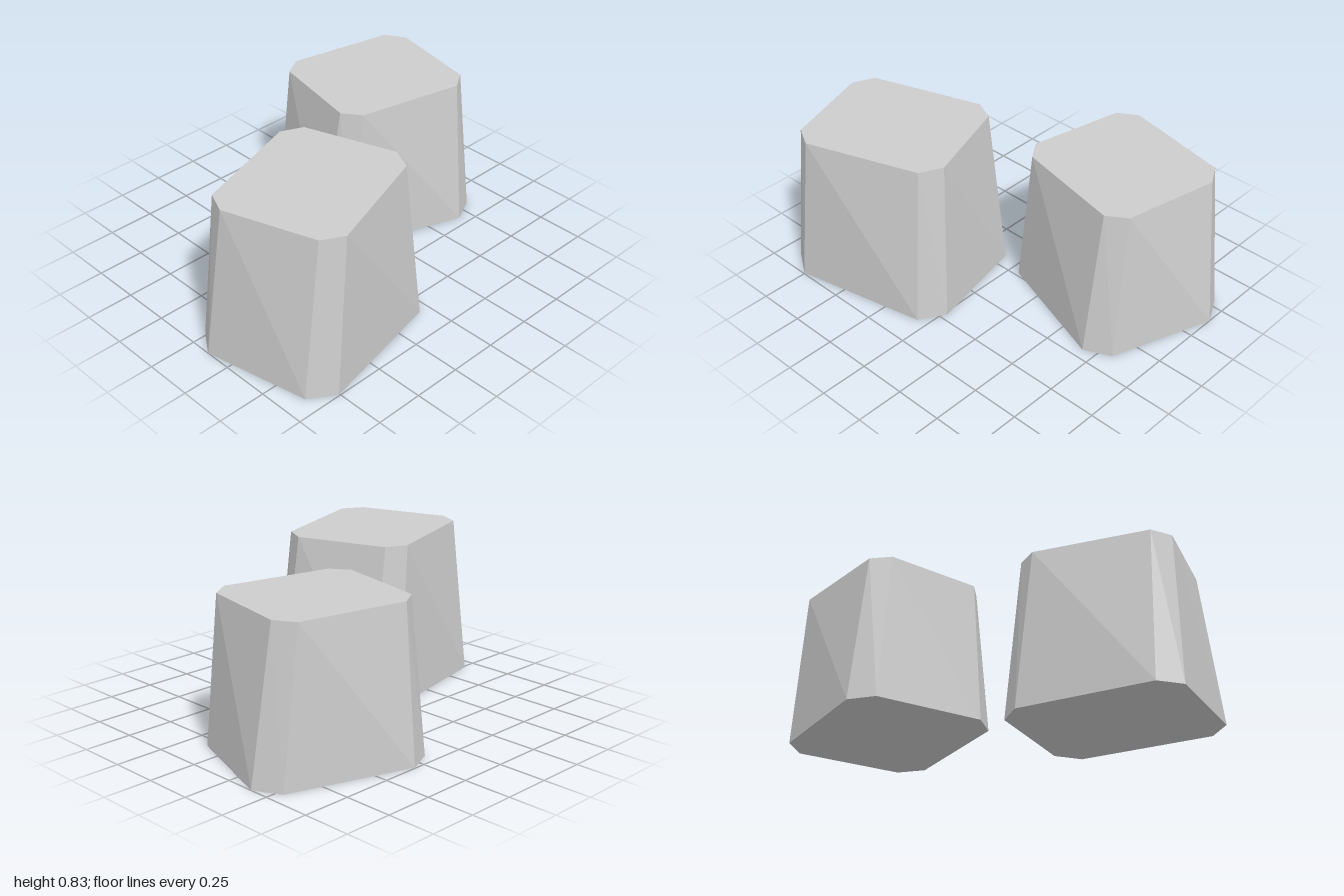
import * as THREE from 'three';

// Flat-shaded tapered block: loft between two horizontal outlines of [x, z]
// points listed left, back, right, front.
function taperedBlock(bottom, top, height, material, name) {
  const pos = [];
  const n = bottom.length;
  const B = (i) => [bottom[i % n][0], 0, bottom[i % n][1]];
  const T = (i) => [top[i % n][0], height, top[i % n][1]];
  const tri = (a, b, c) => pos.push(...a, ...b, ...c);

  // Sides
  for (let i = 0; i < n; i++) {
    tri(T(i + 1), B(i + 1), B(i));
    tri(T(i + 1), B(i), T(i));
  }
  // Top and bottom caps
  for (let k = 1; k < n - 1; k++) {
    tri(T(0), T(k + 1), T(k));
    tri(B(0), B(k), B(k + 1));
  }

  const geometry = new THREE.BufferGeometry();
  geometry.setAttribute('position', new THREE.Float32BufferAttribute(pos, 3));
  geometry.computeVertexNormals();
  const mesh = new THREE.Mesh(geometry, material);
  mesh.name = name;
  return mesh;
}

export function createModel() {
  const group = new THREE.Group();
  group.name = 'stoneBlocks';
  const stone = new THREE.MeshStandardMaterial({ color: 0xcccccc });
  stone.name = 'stone grey';
  stone.flatShading = true;

  // Taller block, front right
  group.add(taperedBlock(
    [[-1, 0.11], [-0.92, -0.01], [-0.225, -0.16], [-0.095, -0.08],
      [0.02, 0.465], [-0.06, 0.595], [-0.755, 0.745], [-0.885, 0.66]],
    [[-0.935, 0.185], [-0.885, 0.07], [-0.31, -0.12], [-0.2, -0.07],
      [-0.04, 0.395], [-0.095, 0.51], [-0.67, 0.71], [-0.78, 0.65]],
    0.83, stone, 'tallBlock'));

  // Shorter block, back left
  group.add(taperedBlock(
    [[0.17, -0.685], [0.305, -0.745], [0.93, -0.535], [1, -0.4],
      [0.815, 0.13], [0.68, 0.195], [0.055, -0.02], [-0.01, -0.155]],
    [[0.185, -0.6], [0.285, -0.66], [0.84, -0.545], [0.9, -0.44],
      [0.8, 0.045], [0.7, 0.11], [0.145, -0.015], [0.08, -0.11]],
    0.775, stone, 'shortBlock'));

  return group;
}
